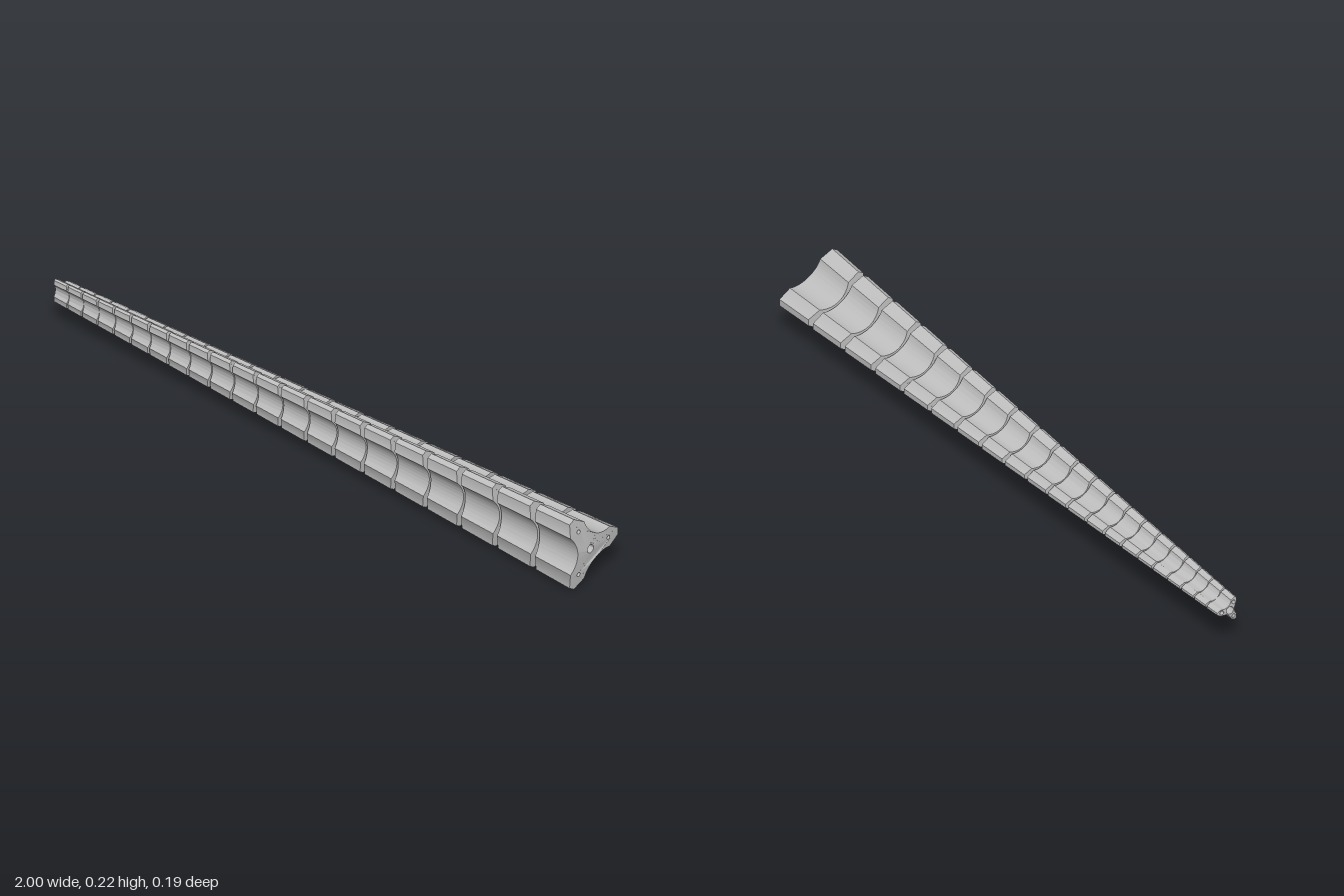
import * as THREE from 'three';
import { toCreasedNormals } from 'three/addons/utils/BufferGeometryUtils.js';

const SEGMENTS = 21;
const END_SCALE = 0.33;            // thin end relative to thick end
const AXIS_Y = 0.111, AXIS_Z = 0.027;
const CORE = 0.012;                // radius of the central bore
const CABLE = 0.006;               // radius of the cable bores
const WEDGE = 0.11;                // slope of the conical end faces

const ratio = Math.pow(END_SCALE, 1 / SEGMENTS);
const scaleAt = (k) => Math.pow(ratio, k);
const xAt = (k) => 1 - 2 * (1 - scaleAt(k)) / (1 - END_SCALE);

// Three-armed outline with scooped valleys, one central bore and three cable bores
function crossSection(scale) {
  const shape = new THREE.Shape();
  for (let i = 0; i < 3; i++) {
    const a = i * Math.PI * 2 / 3;
    [[0.085, -0.0315], [0.122, -0.01], [0.122, 0.01], [0.085, 0.0315]].forEach(([u, v], j) => {
      const x = u * Math.cos(a) - v * Math.sin(a);
      const y = u * Math.sin(a) + v * Math.cos(a);
      if (i === 0 && j === 0) shape.moveTo(x, y);
      else shape.lineTo(x, y);
    });
    const d = a + Math.PI / 3;
    shape.absarc(0.1276 * Math.cos(d), 0.1276 * Math.sin(d), 0.0817,
      d + Math.PI * 1.25, d + Math.PI * 0.75, true);
    shape.holes.push(new THREE.Path().absarc(0.078 * Math.cos(a), 0.078 * Math.sin(a),
      CABLE / scale, 0, Math.PI * 2, true));
  }
  shape.holes.push(new THREE.Path().absarc(0, 0, CORE / scale, 0, Math.PI * 2, true));
  return shape;
}

// One tapered segment whose ends slope back away from the axis
function segmentGeometry(k) {
  const big = scaleAt(k), small = scaleAt(k + 1);
  const xBig = xAt(k), xSmall = xAt(k + 1);
  const geo = new THREE.ExtrudeGeometry(crossSection((big + small) / 2),
    { depth: 1, bevelEnabled: false, curveSegments: 20 });
  const p = geo.attributes.position;
  for (let i = 0; i < p.count; i++) {
    const t = p.getZ(i);
    const s = THREE.MathUtils.lerp(small, big, t);
    const u = p.getX(i) * s, v = p.getY(i) * s;
    const setback = WEDGE * Math.max(0, Math.hypot(u, v) - CORE);
    p.setXYZ(i, THREE.MathUtils.lerp(xSmall + setback, xBig - setback, t),
      AXIS_Y + v, AXIS_Z - u);
  }
  return toCreasedNormals(geo, 0.5);
}

export function createModel() {
  const model = new THREE.Group();
  model.name = 'segmentedArm';
  const grey = new THREE.MeshStandardMaterial({ color: 0xc0c0c0 });
  grey.name = 'lightGrey';
  for (let k = 0; k < SEGMENTS; k++) {
    const mesh = new THREE.Mesh(segmentGeometry(k), grey);
    mesh.name = `armSegment${k + 1}`;
    model.add(mesh);
  }
  return model;
}
